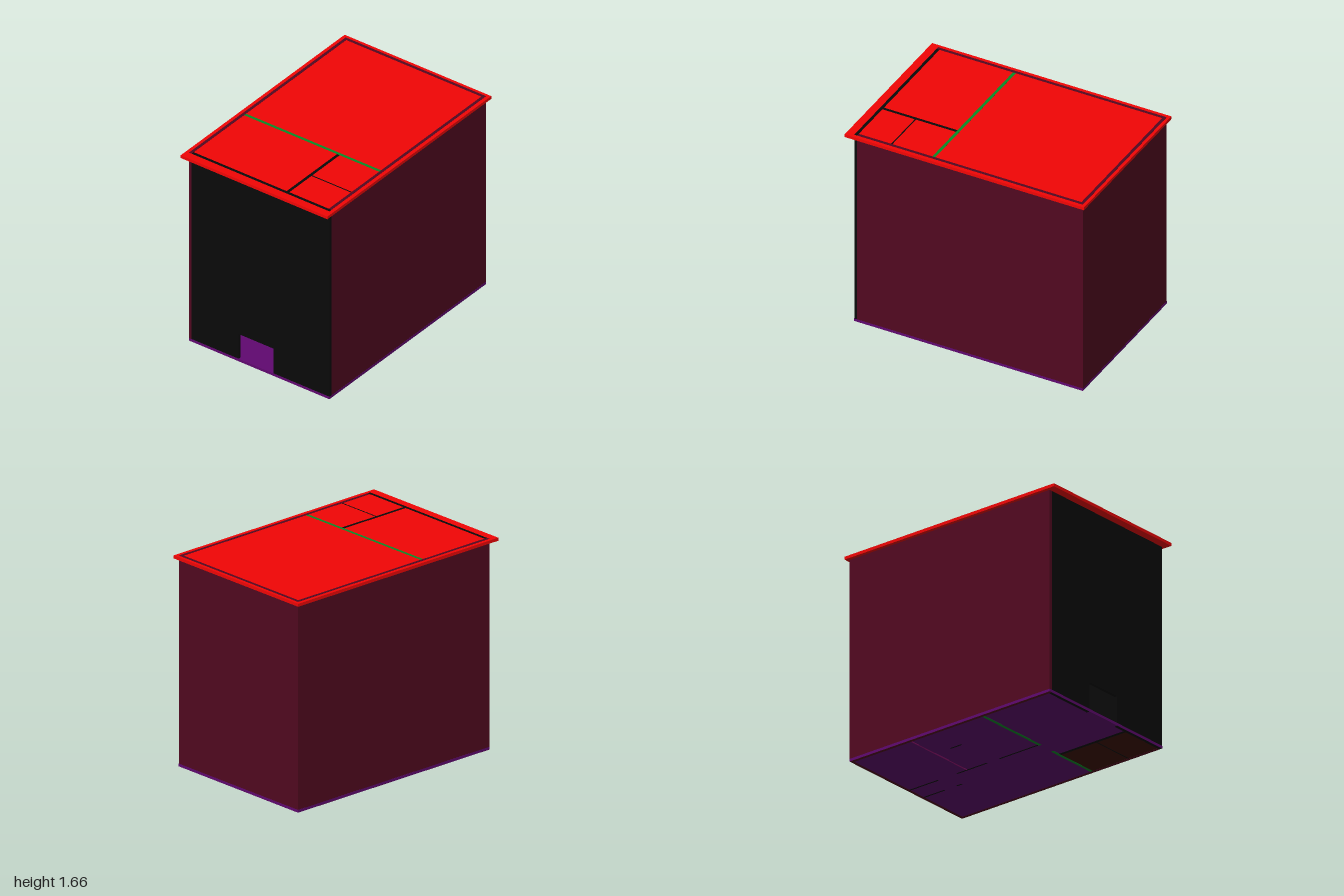
import * as THREE from 'three';

const TOP = 1.66;
const mat = (color) => new THREE.MeshStandardMaterial({ color });
const red = mat(0xf20505), maroon = mat(0x520820), black = mat(0x0a0a0a);
const green = mat(0x088c28), purple = mat(0x600870), magenta = mat(0xa81880), brown = mat(0x401000);

export function createModel() {
  const group = new THREE.Group();

  const add = (name, geometry, material) => {
    const mesh = new THREE.Mesh(geometry, material);
    mesh.name = name;
    group.add(mesh);
    return mesh;
  };

  // Slab given by its two extreme corners
  const slab = (name, material, [x0, y0, z0], [x1, y1, z1]) =>
    add(name, new THREE.BoxGeometry(x1 - x0, y1 - y0, z1 - z0), material)
      .position.set((x0 + x1) / 2, (y0 + y1) / 2, (z0 + z1) / 2);

  // Upright panel from a to b with door notches [start, end, height];
  // axis 'x' runs along x, axis 'z' runs along z, "at" is its lower side
  const wall = (name, material, axis, a, b, at, thick, height, doors = []) => {
    const s = new THREE.Shape();
    s.moveTo(a, 0);
    for (const [d0, d1, h] of doors) {
      s.lineTo(d0, 0);
      s.lineTo(d0, h);
      s.lineTo(d1, h);
      s.lineTo(d1, 0);
    }
    s.lineTo(b, 0);
    s.lineTo(b, height);
    s.lineTo(a, height);
    const g = new THREE.ExtrudeGeometry(s, { depth: thick, bevelEnabled: false });
    if (axis === 'x') g.translate(0, 0, at);
    else g.rotateY(-Math.PI / 2).translate(at + thick, 0, 0);
    add(name, g, material);
  };

  // Floor slabs and flat overhanging roof
  slab('floor', purple, [-0.648, 0.001, -0.976], [0.646, 0.022, 0.937]);
  slab('sideRoomFloor', brown, [0.255, 0.0005, 0.295], [0.62, 0.0235, 0.91]);
  slab('roof', red, [-0.675, 1.635, -1], [0.675, TOP - 0.001, 1]);

  // Outer shell; its top edges show as a ring in the roof
  wall('leftSideWall', maroon, 'z', -0.975, 0.936, -0.647, 0.024, TOP);
  wall('rightSideWall', maroon, 'z', -0.975, 0.911, 0.621, 0.024, TOP);
  wall('backWall', maroon, 'x', -0.623, 0.621, -0.975, 0.024, TOP);
  wall('frontWall', black, 'x', -0.623, 0.645, 0.911, 0.024, TOP, [[-0.19, 0.13, 0.24]]);

  // Front partitions, reaching up through the roof
  const up = TOP - 0.0005;
  wall('crossWall', green, 'x', -0.623, 0.621, 0.272, 0.024, up, [[0.03, 0.165, 0.195]]);
  wall('sideRoomWall', black, 'z', 0.296, 0.911, 0.233, 0.024, up);
  wall('sideRoomDivider', black, 'x', 0.257, 0.621, 0.63, 0.01, up);

  // Rear partitions, ending below the roof
  const under = 1.635;
  wall('corridorWall', black, 'z', -0.951, 0.272, 0.012, 0.012, under,
    [[-0.68, -0.5, 0.195], [-0.215, -0.095, 0.195]]);
  wall('closetWall', black, 'z', -0.951, -0.59, 0.175, 0.012, under, [[-0.754, -0.64, 0.195]]);
  wall('stubWall', black, 'z', -0.26, -0.155, -0.355, 0.012, under);
  wall('bedroomDivider', magenta, 'x', -0.623, 0.012, -0.41, 0.012, under);

  return group;
}
